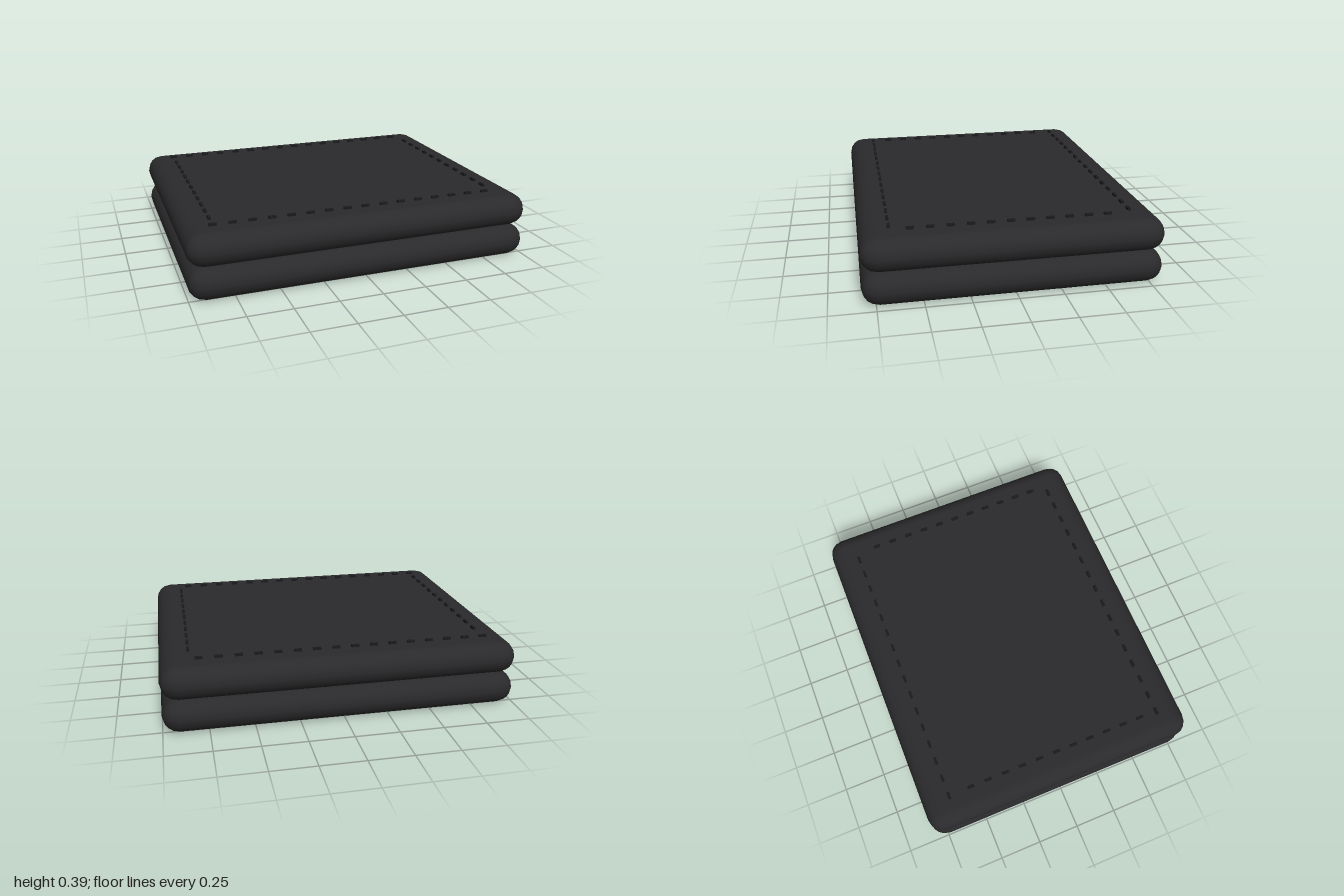
import * as THREE from 'three';
import { RoundedBoxGeometry } from 'three/addons/geometries/RoundedBoxGeometry.js';

const WIDTH = 2, DEPTH = 1.65, THICK = 0.188;

export function createModel() {
  const group = new THREE.Group();
  const leather = new THREE.MeshStandardMaterial({ color: 0x2a2a2c });
  const thread = new THREE.MeshStandardMaterial({ color: 0x1a1a1c });

  // Two stacked padded halves
  const panelGeometry = new RoundedBoxGeometry(WIDTH, THICK, DEPTH, 2, THICK / 2);
  ['lowerPanel', 'upperPanel'].forEach((name, i) => {
    const panel = new THREE.Mesh(panelGeometry, leather);
    panel.name = name;
    panel.position.y = THICK * (i + 0.5);
    group.add(panel);
  });

  // Dashed seam around the top
  const seam = new THREE.Group();
  seam.name = 'stitching';
  group.add(seam);
  const stitchGeometry = new THREE.BoxGeometry(0.043, 0.022, 0.016);
  const pitch = 0.108;

  function addStitch(x, z, turned) {
    const stitch = new THREE.Mesh(stitchGeometry, thread);
    stitch.name = 'stitch';
    stitch.position.set(x, 2 * THICK + 0.002, z);
    if (turned) stitch.rotation.y = Math.PI / 2;
    seam.add(stitch);
  }

  for (const side of [-1, 1]) {
    // Front and back rows
    for (let i = 0; i < 16; i++) addStitch(-0.836 + i * pitch, side * 0.662, false);
    // Left and right rows
    for (let i = 0; i < 11; i++) addStitch(side * 0.835, -0.526 + i * pitch, true);
  }
  return group;
}
